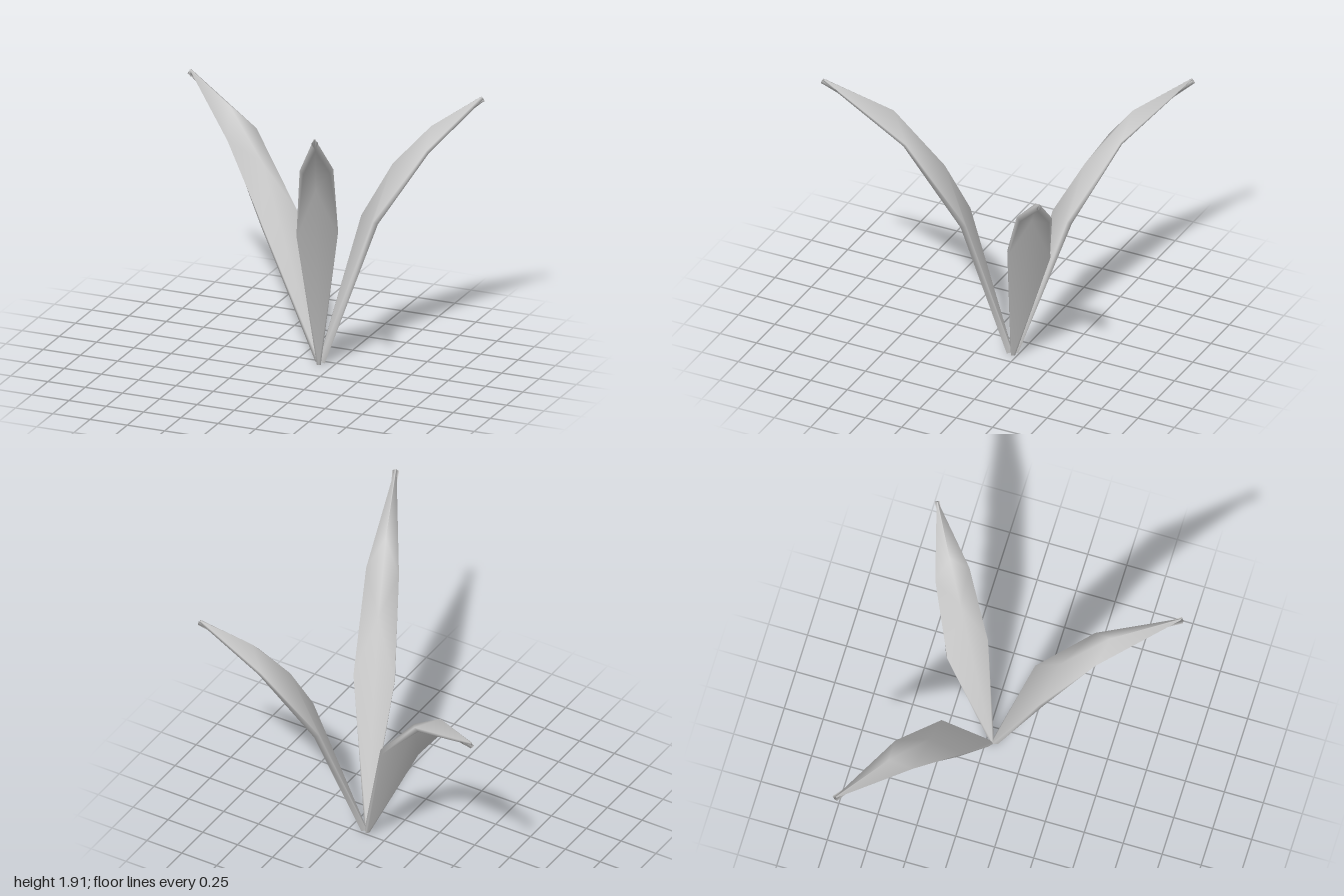
import * as THREE from 'three';

const THICKNESS = 0.035;

// Upper-face points of each leaf: [left edge, midrib, right edge] at two stations, plus the tip
const leaves = [
  {
    name: 'frontLeaf', tip: [0.59, 1.91, 0.87],
    rows: [
      [[0.37, 0.97, 0.0], [0.30, 1.32, 0.18], [0.13, 0.95, 0.09]],
      [[0.49, 1.52, 0.35], [0.42, 1.70, 0.47], [0.29, 1.50, 0.41]],
    ],
  },
  {
    name: 'leftLeaf', tip: [0.98, 1.67, -0.81],
    rows: [
      [[0.29, 0.88, -0.54], [0.51, 1.26, -0.52], [0.46, 0.93, -0.33]],
      [[0.60, 1.34, -0.71], [0.71, 1.49, -0.65], [0.73, 1.37, -0.53]],
    ],
  },
  {
    name: 'rightLeaf', tip: [-1.0, 1.53, -0.87],
    rows: [
      [[-0.26, 0.82, -0.28], [-0.34, 1.16, -0.46], [-0.10, 0.87, -0.46]],
      [[-0.59, 1.25, -0.50], [-0.64, 1.43, -0.64], [-0.46, 1.30, -0.65]],
    ],
  },
];

// Three points across a narrow leaf end
function narrowEnd(centre, side, halfWidth) {
  return [-1, 0, 1].map((s) => centre.clone().addScaledVector(side, s * halfWidth));
}

function leafGeometry({ rows, tip }) {
  const v = (p) => new THREE.Vector3(...p);
  const base = new THREE.Vector3(0.15, 0.01, -0.21);
  const side = v(rows[0][2]).sub(v(rows[0][0])).normalize();
  const top = [
    ...narrowEnd(base, side, 0.012),
    ...rows.flat().map(v),
    ...narrowEnd(v(tip), side, 0.005),
  ];

  // Upper face, folded along the midrib
  const face = [];
  for (let i = 0; i < 3; i++) {
    const [a, m, b] = [3 * i, 3 * i + 1, 3 * i + 2];
    face.push(a, m, a + 3, m, m + 3, a + 3);
    face.push(m, b, b + 3, m, b + 3, m + 3);
  }
  const sheet = new THREE.BufferGeometry().setFromPoints(top);
  sheet.setIndex(face);
  sheet.computeVertexNormals();
  const normals = sheet.getAttribute('normal');

  // Underside, offset along the normals
  const n = top.length;
  const bottom = top.map((p, i) => p.clone().addScaledVector(
    new THREE.Vector3().fromBufferAttribute(normals, i), -THICKNESS));
  bottom.forEach((p) => { p.y = Math.max(p.y, 0); });
  const index = [...face];
  for (let i = 0; i < face.length; i += 3) index.push(face[i] + n, face[i + 2] + n, face[i + 1] + n);

  // Rim joining both faces
  const loop = [0, 1, 2, 5, 8, 11, 10, 9, 6, 3];
  loop.forEach((p, i) => {
    const q = loop[(i + 1) % loop.length];
    index.push(p + n, q + n, q, p + n, q, p);
  });

  const geometry = new THREE.BufferGeometry().setFromPoints([...top, ...bottom]);
  geometry.setIndex(index);
  geometry.computeVertexNormals();
  return geometry;
}

export function createModel() {
  const model = new THREE.Group();
  model.name = 'plant';
  const leafGrey = new THREE.MeshStandardMaterial({ color: 0xcccccc });
  leafGrey.name = 'leaf grey';
  for (const leaf of leaves) {
    const mesh = new THREE.Mesh(leafGeometry(leaf), leafGrey);
    mesh.name = leaf.name;
    model.add(mesh);
  }
  return model;
}
